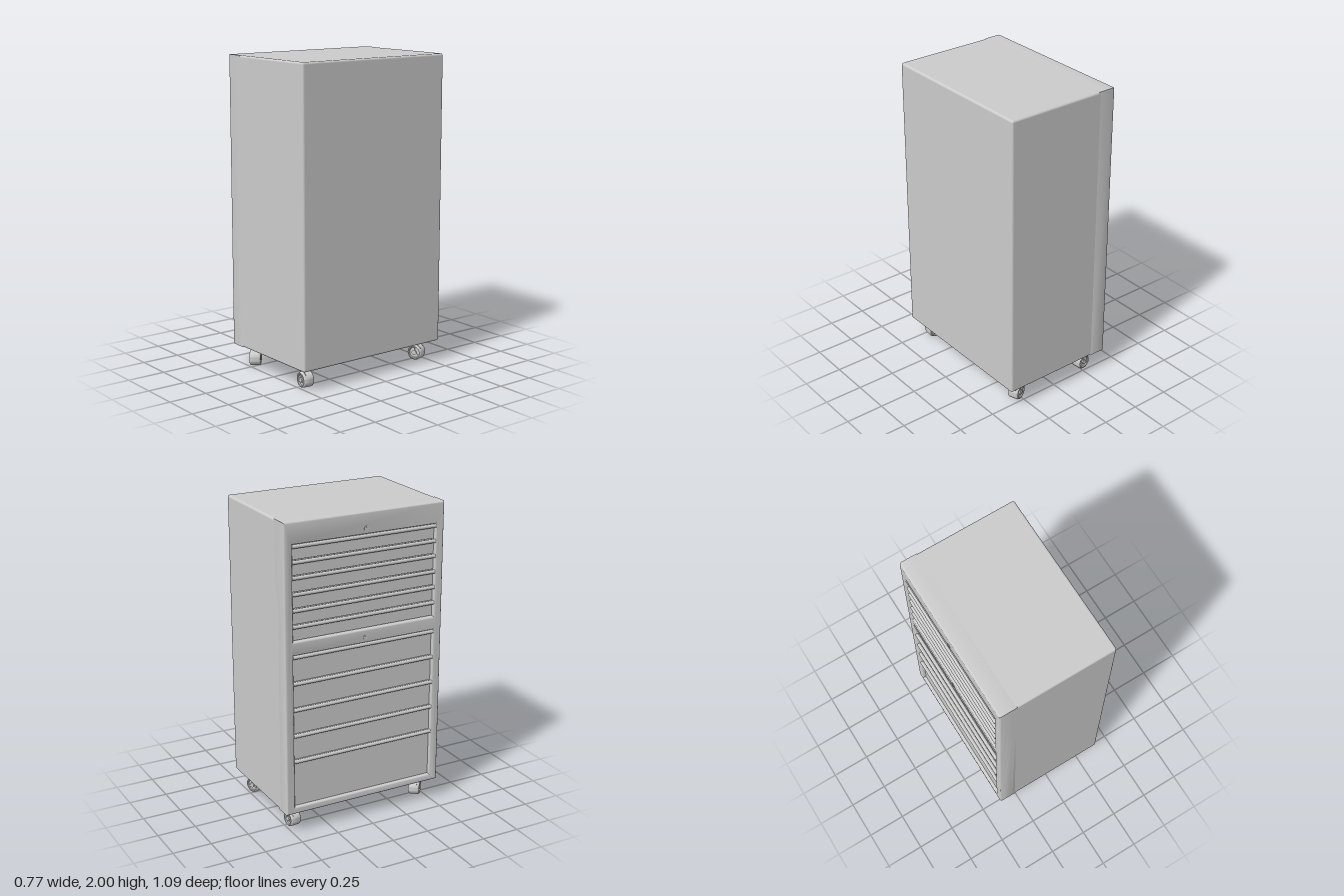
import * as THREE from 'three';
import { RoundedBoxGeometry } from 'three/addons/geometries/RoundedBoxGeometry.js';
import { toCreasedNormals } from 'three/addons/utils/BufferGeometryUtils.js';

const grey = new THREE.MeshStandardMaterial({ color: 0xcccccc });

function add(parent, name, geometry, x = 0, y = 0, z = 0) {
  const mesh = new THREE.Mesh(geometry, grey);
  mesh.name = name;
  mesh.position.set(x, y, z);
  parent.add(mesh);
  return mesh;
}

// Rectangle outline in the (z, y) plane
function rectangle(PathType, halfWidth, bottom, top) {
  return new PathType([
    new THREE.Vector2(-halfWidth, bottom), new THREE.Vector2(halfWidth, bottom),
    new THREE.Vector2(halfWidth, top), new THREE.Vector2(-halfWidth, top),
  ]);
}

// Two drawer banks: handle heights from the top down, and the bottom of the bank
const banks = [
  { handles: [1.85, 1.755, 1.66, 1.56, 1.46, 1.36], bottom: 1.27 },
  { handles: [1.17, 1.0, 0.83, 0.66, 0.49], bottom: 0.185 },
];

function buildCabinet() {
  const cabinet = new THREE.Group();
  cabinet.name = 'cabinet';
  add(cabinet, 'cabinetBody', new RoundedBoxGeometry(0.7, 1.86, 1.09, 4, 0.014), 0.035, 1.07, 0);

  // Frame around the drawer openings, on the -x side
  const frame = rectangle(THREE.Shape, 0.545, 0.14, 2.0);
  for (const bank of banks) {
    frame.holes.push(rectangle(THREE.Path, 0.487, bank.bottom, bank.handles[0] + 0.013));
  }
  const bevel = 0.012;
  const frameGeometry = new THREE.ExtrudeGeometry(frame, {
    depth: 0.1, bevelEnabled: true, bevelThickness: bevel, bevelSize: bevel,
    bevelOffset: -bevel, bevelSegments: 4,
  });
  frameGeometry.rotateY(-Math.PI / 2);
  add(cabinet, 'drawerFrame', toCreasedNormals(frameGeometry, 0.6), -0.385 + 0.1 + bevel, 0, 0);

  for (const bank of banks) {
    bank.handles.forEach((y, i) => {
      const top = y + 0.01;
      const next = bank.handles[i + 1];
      const bottom = next === undefined ? bank.bottom + 0.004 : next + 0.014;
      const drawer = new THREE.Group();
      drawer.name = 'drawer';
      cabinet.add(drawer);
      add(drawer, 'drawerFront', new THREE.BoxGeometry(0.08, top - bottom, 0.968), -0.325, (top + bottom) / 2, 0);
      // Full-width rounded pull
      const pull = new THREE.CylinderGeometry(0.012, 0.012, 0.978, 16).rotateX(Math.PI / 2);
      add(drawer, 'drawerPull', pull, -0.375, y, 0);
    });
  }

  // Round locks with a key slot bar
  for (const y of [1.9, 1.22]) {
    add(cabinet, 'lock', new THREE.CylinderGeometry(0.015, 0.015, 0.012, 24).rotateZ(Math.PI / 2), -0.383, y, 0);
    add(cabinet, 'lockSlot', new THREE.BoxGeometry(0.002, 0.014, 0.004), -0.389, y, 0);
  }
  return cabinet;
}

// Caster with its axle along local z, origin on the floor
function buildCaster() {
  const caster = new THREE.Group();
  caster.name = 'caster';

  // Wheel with rounded shoulders and dished sides
  const half = [[0.014, 0.027], [0.033, 0.027], [0.036, 0.034], [0.042, 0.036], [0.047, 0.033], [0.05, 0.026]];
  const profile = [...half, ...half.map(([r, z]) => [r, -z]).reverse()].reverse();
  const wheel = new THREE.LatheGeometry(profile.map(([r, z]) => new THREE.Vector2(r, z)), 32);
  wheel.rotateX(Math.PI / 2);
  add(caster, 'wheel', toCreasedNormals(wheel, 0.7), 0, 0.055, 0);
  add(caster, 'hub', new THREE.CylinderGeometry(0.016, 0.016, 0.072, 24).rotateX(Math.PI / 2), 0, 0.055, 0);

  // Spokes on both sides
  for (const side of [-1, 1]) {
    for (let i = 0; i < 3; i++) {
      const angle = Math.PI / 2 + (i * Math.PI * 2) / 3;
      const spoke = add(caster, 'spoke', new THREE.BoxGeometry(0.024, 0.008, 0.006),
        0.024 * Math.cos(angle), 0.055 + 0.024 * Math.sin(angle), side * 0.029);
      spoke.rotation.z = angle;
    }
  }

  // Hood over the tread and stem up to the mount
  const hood = new THREE.CylinderGeometry(0.054, 0.054, 0.04, 24, 1, false, Math.PI * 0.2, Math.PI * 0.6);
  hood.rotateX(-Math.PI / 2).rotateZ(Math.PI);
  hood.computeBoundingBox();
  if (hood.boundingBox.max.y < 0.05) hood.rotateZ(Math.PI / 2 * Math.sign(hood.boundingBox.max.x + hood.boundingBox.min.x));
  add(caster, 'hood', hood, 0, 0.055, 0);
  add(caster, 'stem', new THREE.CylinderGeometry(0.013, 0.013, 0.04, 20), 0, 0.122, 0);
  add(caster, 'swivelCollar', new THREE.CylinderGeometry(0.019, 0.019, 0.012, 24), 0, 0.108, 0);
  return caster;
}

export function createModel() {
  const model = new THREE.Group();
  model.name = 'rollingToolCabinet';
  model.add(buildCabinet());

  // Each caster is swivelled differently
  const casters = [[0.272, 0.452, -0.1], [0.272, -0.452, 0.35], [-0.268, 0.452, -0.7], [-0.268, -0.452, 0.1]];
  for (const [x, z, swivel] of casters) {
    const caster = buildCaster();
    caster.position.set(x, -0.005 + 0.005, z);
    caster.rotation.y = swivel;
    model.add(caster);
    add(model, 'mountPlate', new THREE.BoxGeometry(0.125, 0.01, 0.125), x, 0.138, z);
  }
  return model;
}
